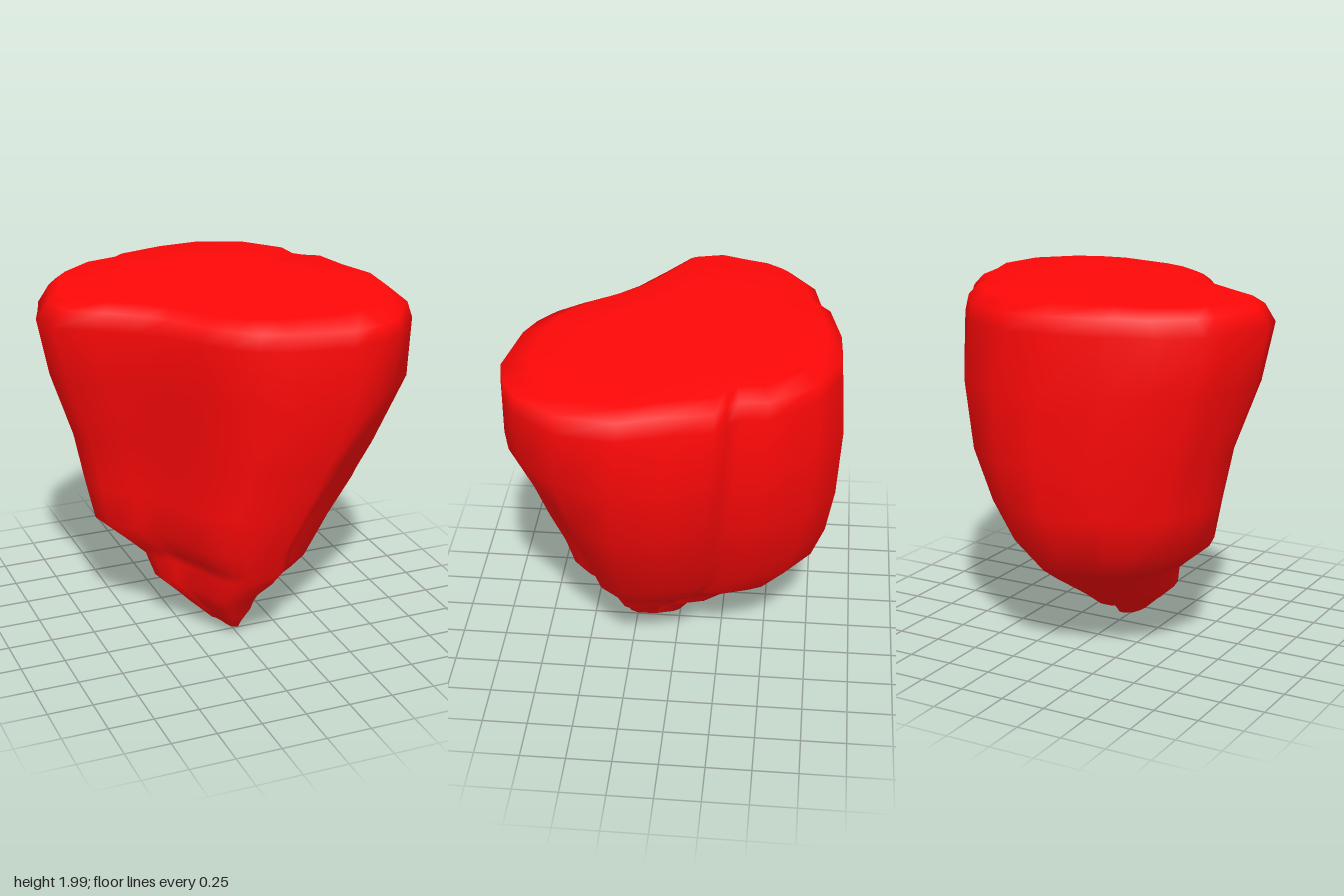
import * as THREE from 'three';

// Plan outline at the shoulder, from the right side round the front to the left and back
const OUTLINE = [
  [-0.97, -0.18], [-0.93, 0], [-0.75, 0.12], [-0.55, 0.26], [-0.44, 0.37], [-0.31, 0.55], [-0.2, 0.68],
  [-0.08, 0.77], [0.06, 0.83], [0.42, 0.89], [0.6, 0.85], [0.74, 0.77], [0.92, 0.54], [0.96, 0.22],
  [0.88, -0.02], [0.83, -0.26], [0.74, -0.32], [0.69, -0.38], [0.68, -0.53], [0.49, -0.77], [0.22, -0.89],
  [-0.05, -0.885], [-0.34, -0.82], [-0.4, -0.77], [-0.6, -0.73], [-0.8, -0.58], [-0.87, -0.48], [-0.92, -0.32],
];

// Height and extents of each cross-section: y, xMin, xMax, zMin, zMax
const LEVELS = [
  [1.98, -0.84, 0.84, -0.78, 0.74],
  [1.93, -0.9, 0.91, -0.86, 0.885],
  [1.84, -0.965, 0.945, -0.87, 0.89],
  [1.52, -0.9, 0.96, -0.89, 0.89],
  [1.14, -0.77, 0.86, -0.87, 0.78],
  [0.85, -0.71, 0.72, -0.83, 0.71],
  [0.62, -0.66, 0.58, -0.76, 0.64],
  [0.47, -0.48, 0.48, -0.61, 0.59],
  [0.4, -0.4, 0.39, -0.52, 0.55],
  [0.28, -0.365, 0.22, -0.37, 0.47],
  [0.17, -0.24, 0.14, -0.21, 0.4],
  [0.14, -0.2, 0.12, -0.08, 0.385],
  [0.05, -0.1, 0.055, 0, 0.33],
];

// Clefts that deepen down the sides: x, z, width, depth
const GROOVES = [
  [-0.75, 0.14, 0.2, 0.08],
  [0.72, -0.36, 0.4, 0.1],
  [0.78, 0.7, 0.36, 0.25],
];

// One cross-section: carve the clefts, lean the lobes, then fit the loop to the level's extents
function crossSection([y, x0, x1, z0, z1]) {
  const strength = THREE.MathUtils.smoothstep(1.9 - y, 0, 1.2);
  const loop = OUTLINE.map(([x, z]) => {
    let k = 1;
    for (const [gx, gz, width, depth] of GROOVES) {
      k -= strength * depth * Math.exp(-((x - gx) ** 2 + (z - gz) ** 2) / (width * width));
    }
    const leanX = -0.2 * strength * Math.max(z, 0);
    const leanZ = 0.18 * strength * Math.max(x, 0) ** 2;
    return new THREE.Vector2(x * k + leanX, z * k + leanZ);
  });
  const { min, max } = new THREE.Box2().setFromPoints(loop);
  return loop.map((p) => new THREE.Vector3(
    THREE.MathUtils.mapLinear(p.x, min.x, max.x, x0, x1),
    y,
    THREE.MathUtils.mapLinear(p.y, min.y, max.y, z0, z1),
  ));
}

function rockGeometry() {
  const rings = LEVELS.map(crossSection);
  // Slightly uneven rim, lowest at the front right
  rings[0].forEach((p) => { p.y += 0.012 * p.x - 0.012 * p.z; });
  // Inner ring keeps the top flat
  rings.unshift(rings[0].map((p) => new THREE.Vector3(p.x * 0.6, 0.4 * 1.98 + 0.6 * p.y, p.z * 0.6)));

  const n = OUTLINE.length;
  const points = [...rings.flat(), new THREE.Vector3(0, 1.98, 0), new THREE.Vector3(-0.01, 0, 0.14)];
  const top = rings.length * n;
  const tip = top + 1;
  const lastRing = top - n;
  const index = [];
  for (let j = 0; j < n; j++) {
    const k = (j + 1) % n;
    index.push(top, j, k);
    for (let i = 0; i < rings.length - 1; i++) {
      const a = i * n + j, b = i * n + k;
      index.push(a, a + n, b, b, a + n, b + n);
    }
    index.push(lastRing + j, tip, lastRing + k);
  }
  const geometry = new THREE.BufferGeometry().setFromPoints(points);
  geometry.setIndex(index);
  geometry.computeVertexNormals();
  return geometry;
}

export function createModel() {
  const group = new THREE.Group();
  group.name = 'rock';
  // Tapering boulder with a flat top
  const rock = new THREE.Mesh(rockGeometry(), new THREE.MeshStandardMaterial({ color: 0xff0808 }));
  rock.name = 'taperedRock';
  group.add(rock);
  return group;
}
